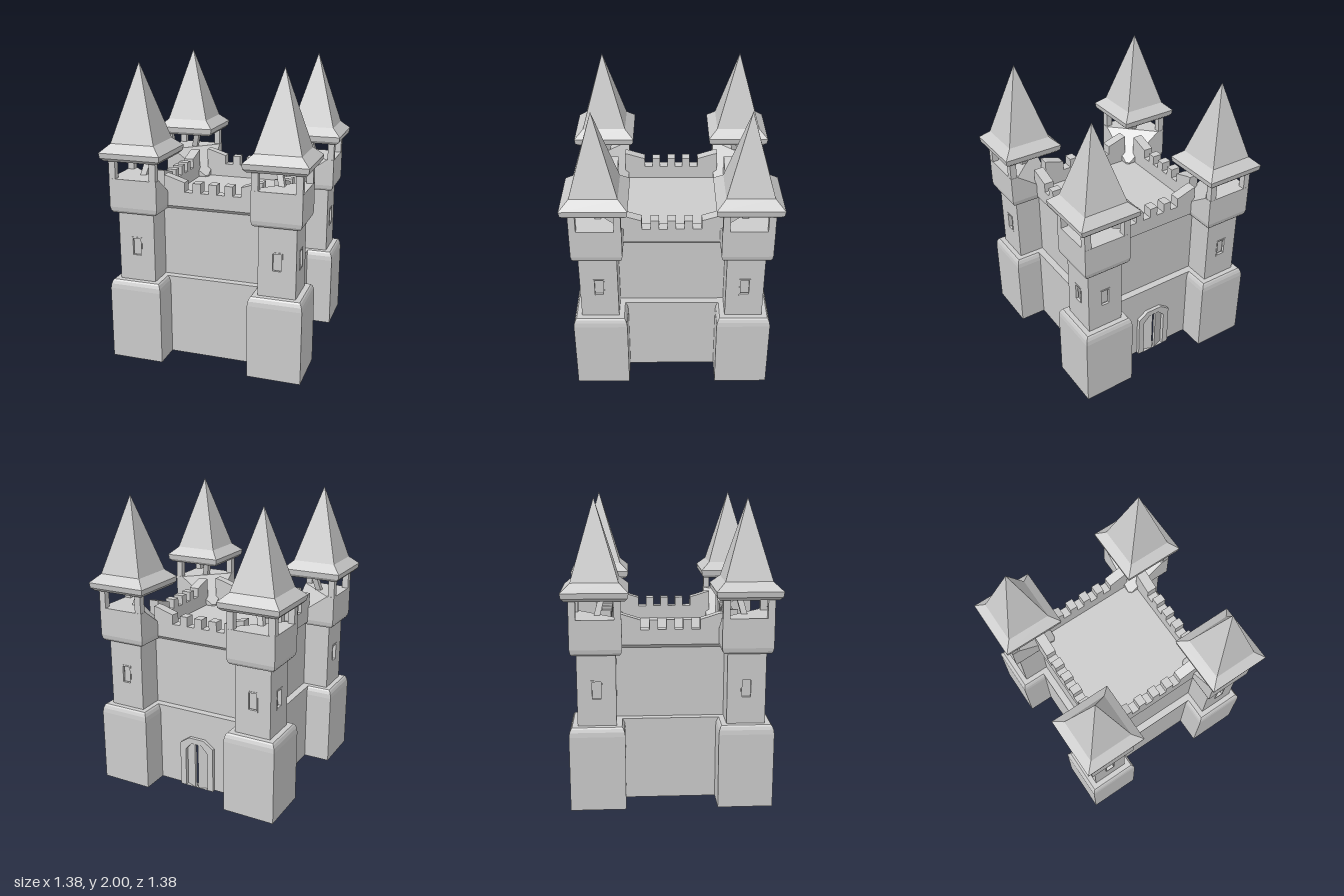
import * as THREE from 'three';

const material = new THREE.MeshStandardMaterial({ color: 0xcccccc, flatShading: true, side: THREE.DoubleSide });

function add(parent, name, geometry, x = 0, y = 0, z = 0) {
  const mesh = new THREE.Mesh(geometry, material);
  mesh.name = name;
  mesh.position.set(x, y, z);
  parent.add(mesh);
  return mesh;
}

function addGroup(parent, name) {
  const group = new THREE.Group();
  group.name = name;
  parent.add(group);
  return group;
}

const box = (w, h, d) => new THREE.BoxGeometry(w, h, d);

// Square plan of half width h, with the inner corner optionally cut off by d
function plan(h, d = 0) {
  const inner = d > 0 ? [[-h + d, -h], [-h, -h + d]] : [[-h, -h]];
  return [[h, h], [h, -h], ...inner, [-h, h]];
}

// Faceted loft through [height, plan] sections, with optional flat caps
function loft(sections, bottomCap, topCap) {
  const out = [];
  const put = (...corners) => corners.forEach(([y, p]) => out.push(p[0], y, p[1]));
  for (let s = 0; s < sections.length - 1; s++) {
    const [y0, low] = sections[s], [y1, high] = sections[s + 1];
    low.forEach((a, i) => {
      const j = (i + 1) % low.length;
      put([y0, a], [y0, low[j]], [y1, high[j]]);
      put([y0, a], [y1, high[j]], [y1, high[i]]);
    });
  }
  const cap = ([y, p], up) => {
    for (let i = 1; i < p.length - 1; i++) {
      if (up) put([y, p[0]], [y, p[i]], [y, p[i + 1]]);
      else put([y, p[0]], [y, p[i + 1]], [y, p[i]]);
    }
  };
  if (bottomCap) cap(sections[0], false);
  if (topCap) cap(sections[sections.length - 1], true);
  const geometry = new THREE.BufferGeometry();
  geometry.setAttribute('position', new THREE.Float32BufferAttribute(out, 3));
  geometry.computeVertexNormals();
  return geometry;
}

const squares = (list) => list.map(([y, h]) => [y, plan(h)]);
const shapeOf = (pts) => new THREE.Shape(pts.map(([x, y]) => new THREE.Vector2(x, y)));
const extrude = (shape, depth) => new THREE.ExtrudeGeometry(shape, { depth, bevelEnabled: false });
const rectangle = (w, y0, y1) => [[-w, y0], [w, y0], [w, y1], [-w, y1]];
const arch = (w, y) => [[-w, 0], [w, 0], [w, y], [w * 0.45, y + 0.05], [-w * 0.45, y + 0.05], [-w, y]];

// Corner tower around its own axis; its inner corner points to -x, -z
function buildTower() {
  const tower = new THREE.Group();
  tower.name = 'tower';
  add(tower, 'towerBase', loft(squares([[0, 0.18], [0.5, 0.18], [0.53, 0.176], [0.55, 0.168], [0.56, 0.16]]), false, true));

  // Shaft core with outer face plates pierced by windows
  add(tower, 'towerShaft', box(0.225, 0.47, 0.225), -0.0125, 0.795, -0.0125);
  for (const turn of [0, 1]) {
    const face = addGroup(tower, 'windowFace');
    face.rotation.y = turn * Math.PI / 2;
    const plate = shapeOf(rectangle(0.125, 0.56, 1.03));
    plate.holes.push(shapeOf(rectangle(0.035, 0.73, 0.86)));
    add(face, 'windowWall', extrude(plate, 0.025), 0, 0, 0.1);
    const frame = shapeOf(rectangle(0.037, 0.728, 0.862));
    frame.holes.push(shapeOf(rectangle(0.028, 0.738, 0.852)));
    add(face, 'windowFrame', extrude(frame, 0.018), 0, 0, 0.11);
  }

  // Flared head with a sloped inner corner
  add(tower, 'towerHead', loft([
    [1.03, plan(0.15, 0.01)], [1.045, plan(0.16, 0.01)], [1.07, plan(0.165, 0.02)], [1.26, plan(0.165, 0.28)],
  ], true, true));

  // Roof posts, the inner one leaning outwards
  for (const [x, z] of [[0.142, 0.142], [-0.14, 0.142], [0.142, -0.14]]) {
    add(tower, 'roofPost', box(0.045, 0.13, 0.045), x, 1.32, z);
  }
  const shift = (points, s) => points.map(([x, z]) => [x + s, z + s]);
  add(tower, 'leaningPost', loft([[1.25, shift(plan(0.02), -0.005)], [1.39, shift(plan(0.02), -0.042)]]));

  // Spire with a flared eave
  add(tower, 'roof', loft(squares([[1.38, 0.185], [1.4, 0.205], [1.435, 0.21], [1.49, 0.15], [2, 0]]), true, false));
  return tower;
}

// Stepped parapet outline: notches in the middle, rising to the towers
function parapetShape() {
  const low = 1.155, high = 1.22;
  const pts = [[-0.34, 1.055], [0.34, 1.055], [0.34, 1.262], [0.315, 1.258], [0.195, high]];
  for (const x of [0.11, 0, -0.11]) {
    pts.push([x + 0.085, low], [x + 0.028, low], [x + 0.028, high], [x - 0.028, high], [x - 0.028, low]);
  }
  pts.push([-0.195, low], [-0.195, high], [-0.315, 1.258], [-0.34, 1.262]);
  return shapeOf(pts);
}

function buildDoor(parent) {
  const door = addGroup(parent, 'door');
  const frame = shapeOf(arch(0.128, 0.32));
  frame.holes.push(shapeOf(arch(0.085, 0.28)));
  add(door, 'doorFrame', extrude(frame, 0.06), 0, 0, 0.44);
  // Two leaves standing slightly ajar
  for (const side of [-1, 1]) {
    const leaf = addGroup(door, 'doorLeaf');
    leaf.position.set(side * 0.085, 0, 0.455);
    leaf.rotation.y = side * 0.35;
    const panel = shapeOf([[0, 0], [-side * 0.083, 0], [-side * 0.083, 0.33], [-side * 0.047, 0.33], [0, 0.28]]);
    add(leaf, 'doorPanel', extrude(panel, 0.015));
  }
}

export function createModel() {
  const castle = new THREE.Group();
  castle.name = 'castle';

  for (let k = 0; k < 4; k++) {
    // Side 2 is the back, which carries the door
    const side = addGroup(castle, 'castleSide');
    side.rotation.y = k * Math.PI / 2;
    const wall = shapeOf(rectangle(0.475, 0, 0.56));
    if (k === 2) {
      wall.holes.push(shapeOf(arch(0.1, 0.3)));
      buildDoor(side);
    }
    add(side, 'lowerWall', new THREE.ShapeGeometry(wall), 0, 0, 0.475);
    add(side, 'parapet', extrude(parapetShape(), 0.07), 0, 0, 0.385);

    const tower = buildTower();
    tower.position.set(0.48, 0, 0.48);
    side.add(tower);
  }

  // Ledge, upper walls and overhang under the parapet
  add(castle, 'upperWalls', loft(squares([[0.56, 0.475], [0.56, 0.425], [1.03, 0.425], [1.055, 0.455]])));
  add(castle, 'courtyardFloor', box(0.82, 0.02, 0.82), 0, 1.05, 0);
  return castle;
}
